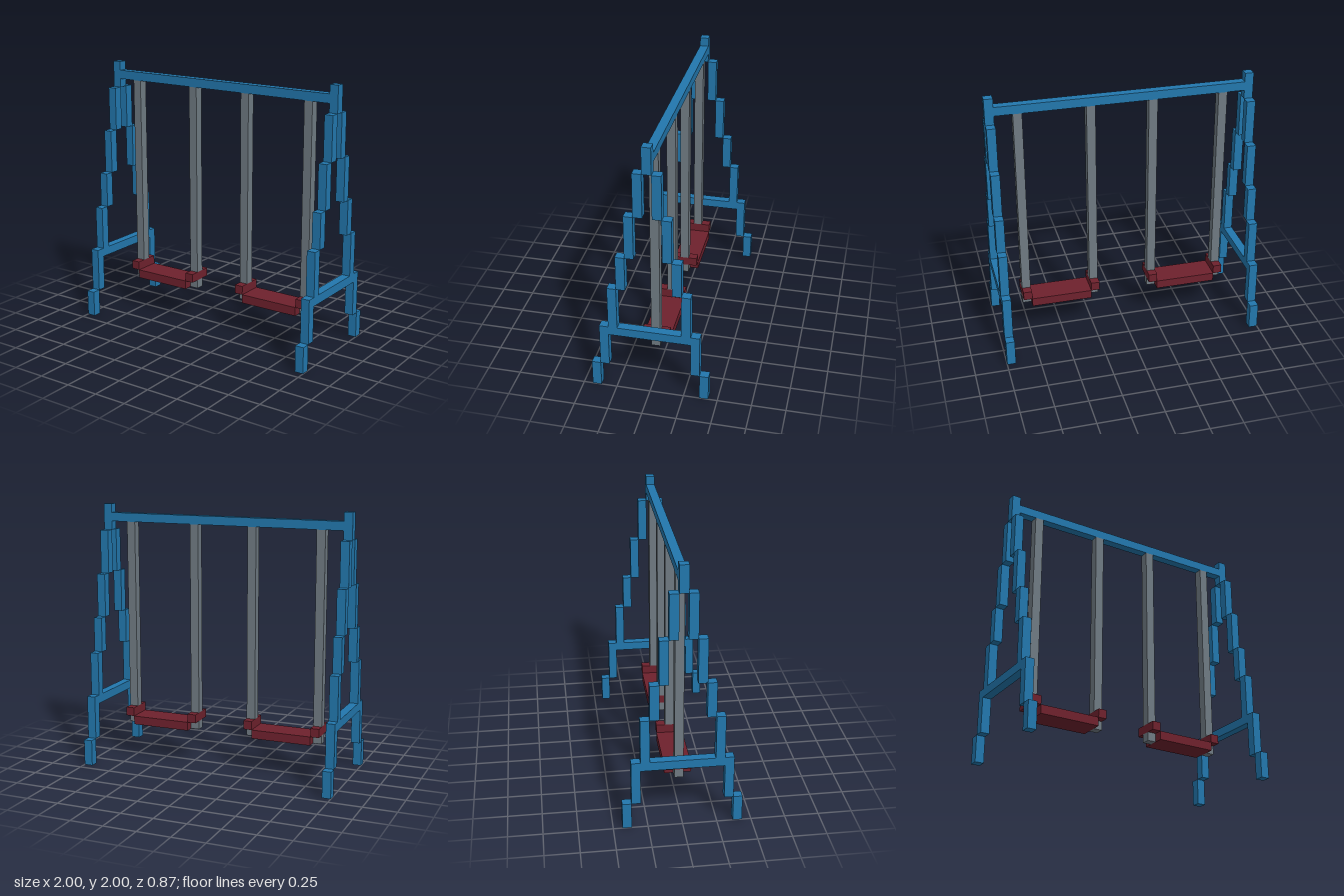
import * as THREE from 'three';

const U = 1 / 15; // side of one block

export function createModel() {
  const model = new THREE.Group();
  model.name = 'swingSet';

  const mat = (name, color) => {
    const m = new THREE.MeshStandardMaterial({ color });
    m.name = name;
    return m;
  };
  const blue = mat('framePaint', 0x2277ad);
  const grey = mat('chainMetal', 0x6f7a82);
  const red = mat('seatRed', 0x6e212d);

  // Box given by its limits in block units
  const block = (parent, name, material, [x0, x1], [y0, y1], [z0, z1]) => {
    const mesh = new THREE.Mesh(
      new THREE.BoxGeometry((x1 - x0) * U, (y1 - y0) * U, (z1 - z0) * U), material);
    mesh.position.set((x0 + x1) / 2 * U, (y0 + y1) / 2 * U, (z0 + z1) / 2 * U);
    mesh.name = name;
    parent.add(mesh);
  };

  // Stepped A-frames: leg heights from the apex outwards
  const steps = [30, 27, 22, 17, 13, 8, 3];
  for (const side of [-1, 1]) {
    const frame = new THREE.Group();
    frame.name = side > 0 ? 'leftFrame' : 'rightFrame';
    const x = side > 0 ? [14, 15] : [-15, -14];
    block(frame, 'apexPost', blue, x, [27, 30], [-0.5, 0.5]);
    for (let k = 1; k < steps.length; k++) {
      const y = [steps[k + 1] ?? 0, steps[k]];
      block(frame, 'frontLeg', blue, x, y, [k - 0.5, k + 0.5]);
      block(frame, 'backLeg', blue, x, y, [-k - 0.5, -k + 0.5]);
    }
    block(frame, 'crossbar', blue, x, [7, 8], [-4.5, 4.5]);
    model.add(frame);
  }

  // Top beam between the frames
  block(model, 'topBeam', blue, [-14, 14], [28, 29], [-0.5, 0.5]);

  // Two swings, each with a seat and a hanger at both ends
  for (const x0 of [-12, 3]) {
    const swing = new THREE.Group();
    swing.name = x0 > 0 ? 'leftSwing' : 'rightSwing';
    block(swing, 'seat', red, [x0 + 1, x0 + 8], [4, 5], [-1.5, 1.5]);
    for (const h of [x0, x0 + 8]) {
      const x = [h, h + 1];
      block(swing, 'chain', grey, x, [6, 28], [-0.5, 0.5]);
      block(swing, 'seatEnd', red, x, [5, 6], [-1.5, 1.5]);
      block(swing, 'chainEnd', grey, x, [4, 5], [-0.5, 0.5]);
    }
    model.add(swing);
  }
  return model;
}
